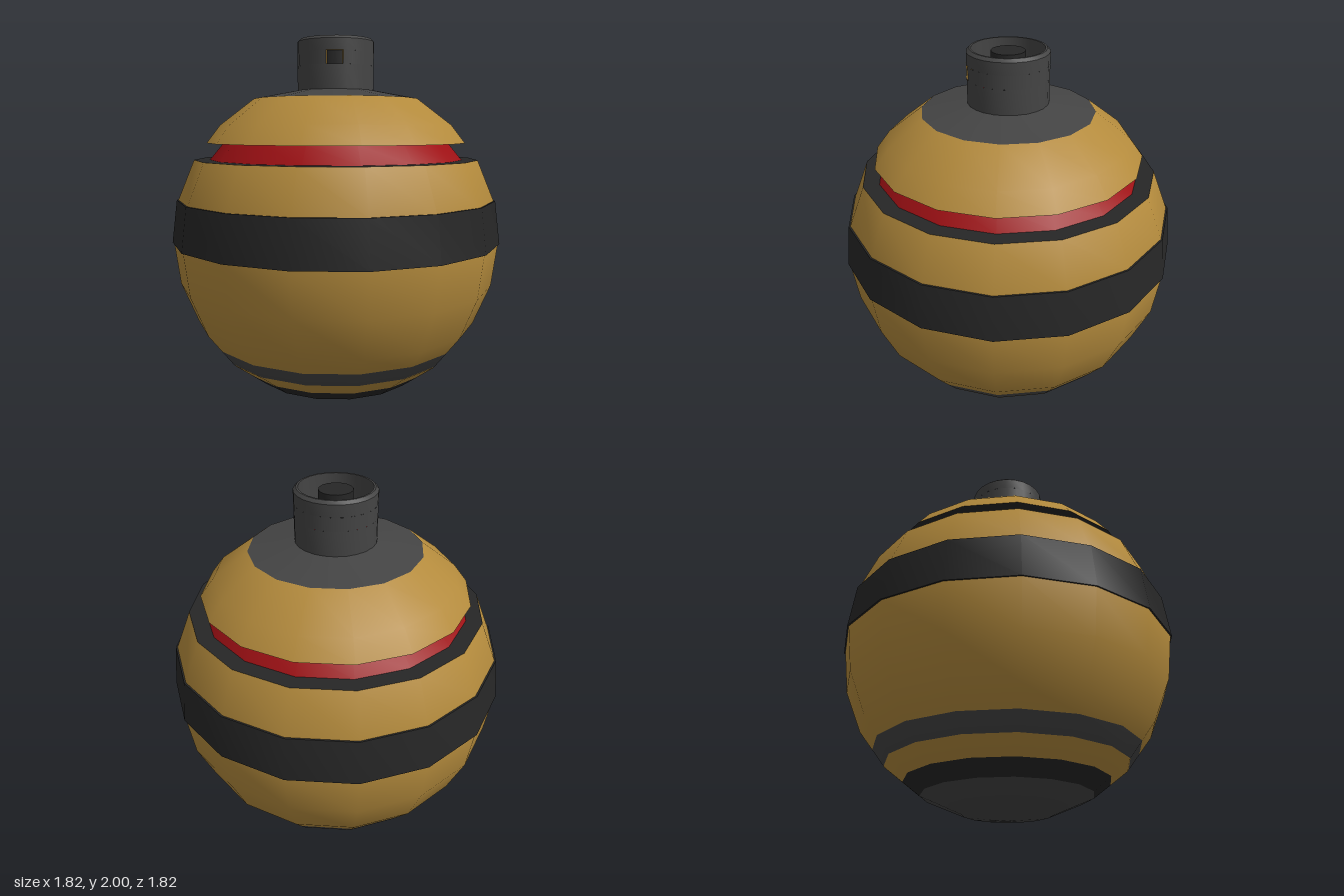
import * as THREE from 'three';
import { toCreasedNormals } from 'three/addons/utils/BufferGeometryUtils.js';

const R = 0.9; // body radius, also the height of its centre

const mat = (name, color, side = THREE.FrontSide) => {
  const m = new THREE.MeshStandardMaterial({ color, side });
  m.name = name;
  return m;
};

export function createModel() {
  const model = new THREE.Group();
  model.name = 'roundGrenade';
  const gold = mat('gold', 0xb38a3c, THREE.DoubleSide);
  const black = mat('black', 0x262626);
  const grey = mat('grey', 0x444444);
  const red = mat('red', 0x9e1014);

  const add = (name, geometry, material, parent = model) => {
    const mesh = new THREE.Mesh(geometry, material);
    mesh.name = name;
    parent.add(mesh);
    return mesh;
  };
  const lathe = (pts, sides = 16, start = 0, length = Math.PI * 2) =>
    new THREE.LatheGeometry(pts.map(([r, y]) => new THREE.Vector2(r, y)), sides, start, length);
  // Turned part with hard edges along its profile
  const turned = (name, pts, material, sides = 16) =>
    add(name, toCreasedNormals(lathe(pts, sides), 0.5), material);

  // Zone of the faceted ball between two heights, with round shading
  const rings = [];
  for (let i = 0; i <= 12; i++) {
    const a = (i * Math.PI) / 12;
    rings.push([R * Math.sin(a), R - R * Math.cos(a)]);
  }
  const radiusAt = (y) => {
    const i = Math.max(1, rings.findIndex((p) => p[1] >= y - 1e-6));
    const [r0, y0] = rings[i - 1], [r1, y1] = rings[i];
    return r0 + ((r1 - r0) * (y - y0)) / (y1 - y0);
  };
  const zone = (name, y0, y1, material) => {
    const inner = rings.filter((p) => p[1] > y0 + 0.001 && p[1] < y1 - 0.001);
    const g = lathe([[radiusAt(y0), y0], ...inner, [radiusAt(y1), y1]]);
    const p = g.attributes.position, v = new THREE.Vector3();
    for (let i = 0; i < p.count; i++) {
      v.fromBufferAttribute(p, i).setY(p.getY(i) - R).normalize();
      g.attributes.normal.setXYZ(i, v.x, v.y, v.z);
    }
    add(name, g, material);
  };

  // Ball body, bottom to top
  const capY = rings[2][1], slotY = rings[8][1], lipY = 1.44, collarY = rings[10][1];
  zone('bottomCap', 0, capY, grey);
  zone('bottomRing', capY, 0.19, black);
  zone('lowerGoldStrip', 0.19, 0.27, gold);
  zone('lowerBand', 0.27, 0.355, grey);
  zone('goldBody', 0.355, slotY, gold);
  zone('goldDome', lipY, collarY, gold);

  // Raised belt around the middle
  turned('belt', [[0.89, 0.9], [0.908, 0.9], [0.878, 1.133], [0.86, 1.133]], black);

  // Recessed groove with a glowing band between two dark ledges
  turned('grooveLowerLedge', [[0.78, slotY], [0.69, slotY]], black);
  turned('grooveBand', [[0.695, slotY], [0.62, lipY]], red);
  turned('grooveUpperLedge', [[0.61, lipY], [radiusAt(lipY), lipY]], black);

  // Collar and hollow neck
  turned('collar', [[0.45, collarY], [0.2, 1.727]], grey);
  const w = { y0: 1.853, y1: 1.923, a0: -0.02, a1: 0.41 }; // window opening
  turned('neckLower', [[0.21, 1.71], [0.21, w.y0]], grey, 24);
  turned('neckUpper', [[0.21, w.y1], [0.21, 1.985], [0.195, 2], [0.185, 2], [0.185, 1.76]], grey, 24);
  add('neckMiddle', lathe([[0.21, w.y0], [0.21, w.y1]], 24, w.a1, Math.PI * 2 - (w.a1 - w.a0)), grey);
  turned('neckFloor', [[0.19, 1.76], [0.04, 1.76]], red, 24);
  turned('corePin', [[0.087, 1.76], [0.087, 1.985], [0, 1.985]], black, 16);

  // Small window in the neck: dark pane with gold sills and jambs
  const windowGroup = new THREE.Group();
  windowGroup.name = 'neckWindow';
  model.add(windowGroup);
  const span = w.a1 - w.a0;
  add('windowPane', lathe([[0.188, w.y0], [0.188, w.y1]], 4, w.a0, span), black, windowGroup);
  for (const y of [w.y0, w.y1])
    add('windowSill', lathe([[0.188, y], [0.211, y]], 4, w.a0, span), gold, windowGroup);
  for (const a of [w.a0, w.a1]) {
    const jamb = add('windowJamb', new THREE.PlaneGeometry(0.024, w.y1 - w.y0), gold, windowGroup);
    jamb.position.set(0.2 * Math.sin(a), (w.y0 + w.y1) / 2, 0.2 * Math.cos(a));
    jamb.rotation.y = a + Math.PI / 2;
  }
  return model;
}
